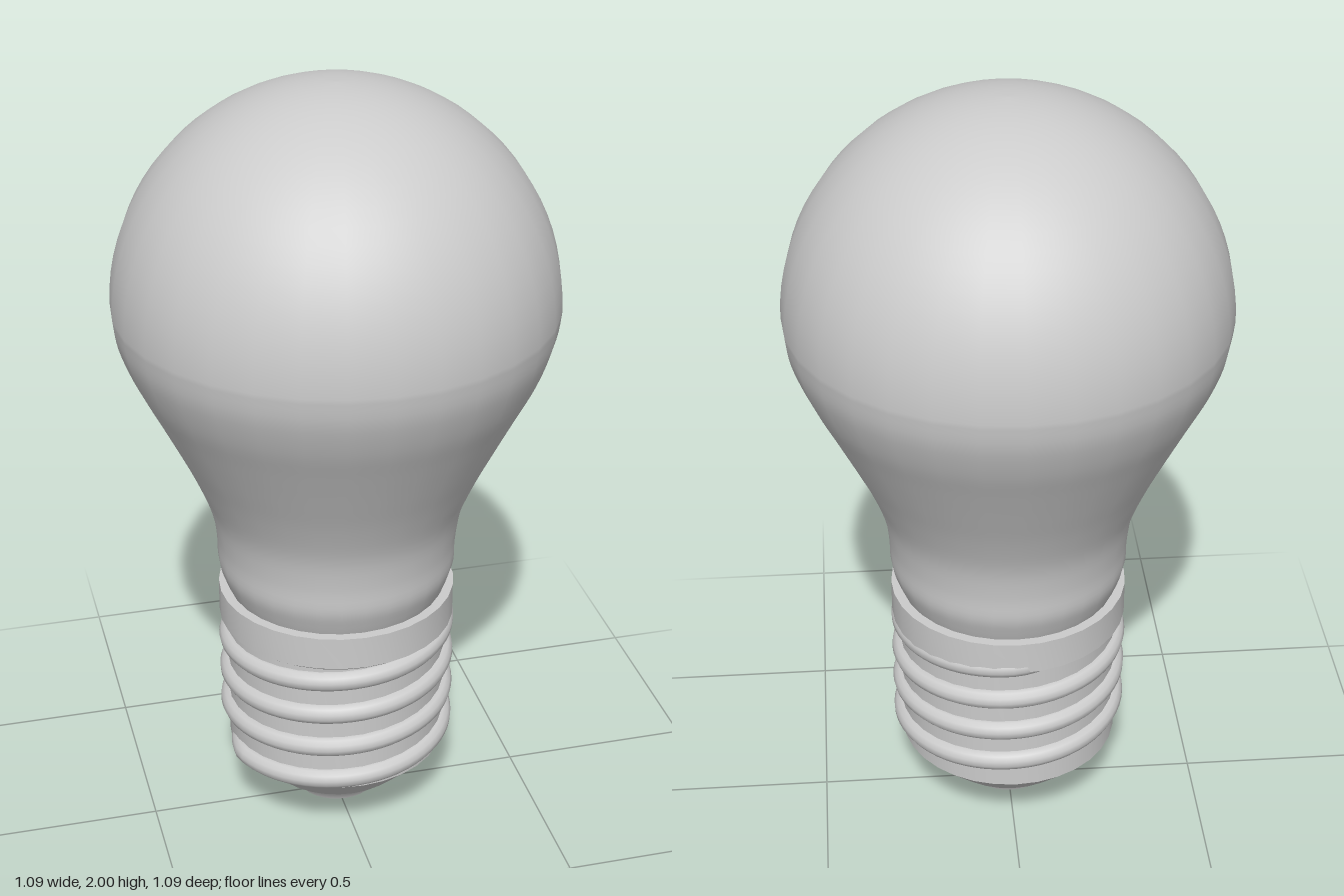
import * as THREE from 'three';
import { toCreasedNormals } from 'three/addons/utils/BufferGeometryUtils.js';

const SIDES = 32;
const material = new THREE.MeshStandardMaterial({ color: 0xcccccc, side: THREE.DoubleSide });

const toPoints = (pairs) => pairs.map(([r, y]) => new THREE.Vector2(r, y));

// Turned part with sharp edges, profile listed from the bottom up
function turned(name, pairs) {
  const geometry = toCreasedNormals(new THREE.LatheGeometry(toPoints(pairs), SIDES), 0.5);
  const mesh = new THREE.Mesh(geometry, material);
  mesh.name = name;
  return mesh;
}

// Rising screw path whose ends sink into the cap
class ThreadPath extends THREE.Curve {
  getPoint(t, target = new THREE.Vector3()) {
    const turns = 3.9 * t - 0.03;
    const angle = turns * Math.PI * 2;
    const sink = Math.max(0, 1 - t / 0.02, 1 - (1 - t) / 0.03);
    const r = 0.279 - 0.034 * sink;
    return target.set(-Math.cos(angle) * r, 0.21 + 0.1 * turns, Math.sin(angle) * r);
  }
}

export function createModel() {
  const model = new THREE.Group();
  model.name = 'lightBulb';

  // Glass: curved neck flowing into a round dome
  const neck = new THREE.SplineCurve(toPoints([
    [0.272, 0.65], [0.288, 0.69], [0.303, 0.74], [0.306, 0.81], [0.321, 0.9],
    [0.36, 1.0], [0.408, 1.1], [0.458, 1.2], [0.503, 1.29], [0.536, 1.38], [0.547, 1.453],
  ])).getPoints(40);
  const dome = [];
  for (let i = 1; i <= 20; i++) {
    const a = (i / 20) * Math.PI / 2;
    dome.push(new THREE.Vector2(i === 20 ? 0 : 0.547 * Math.cos(a), 1.453 + 0.547 * Math.sin(a)));
  }
  const glass = new THREE.Mesh(new THREE.LatheGeometry([...neck, ...dome], SIDES), material);
  glass.name = 'glassBulb';
  model.add(glass);

  // Metal cap with its collar
  model.add(turned('screwCap', [
    [0.19, 0.107], [0.284, 0.2], [0.284, 0.565], [0.304, 0.58], [0.304, 0.667], [0.27, 0.667],
  ]));

  // Screw thread
  const thread = new THREE.Mesh(new THREE.TubeGeometry(new ThreadPath(), 260, 0.028, 12, false), material);
  thread.name = 'screwThread';
  model.add(thread);

  // Insulator below the cap
  model.add(turned('insulator', [
    [0, 0.025], [0.07, 0.025], [0.108, 0.031], [0.115, 0.047], [0.158, 0.09], [0.19, 0.107],
  ]));

  // Contact at the very bottom
  model.add(turned('bottomContact', [
    [0, 0], [0.035, 0.002], [0.052, 0.009], [0.055, 0.028],
  ]));

  return model;
}
